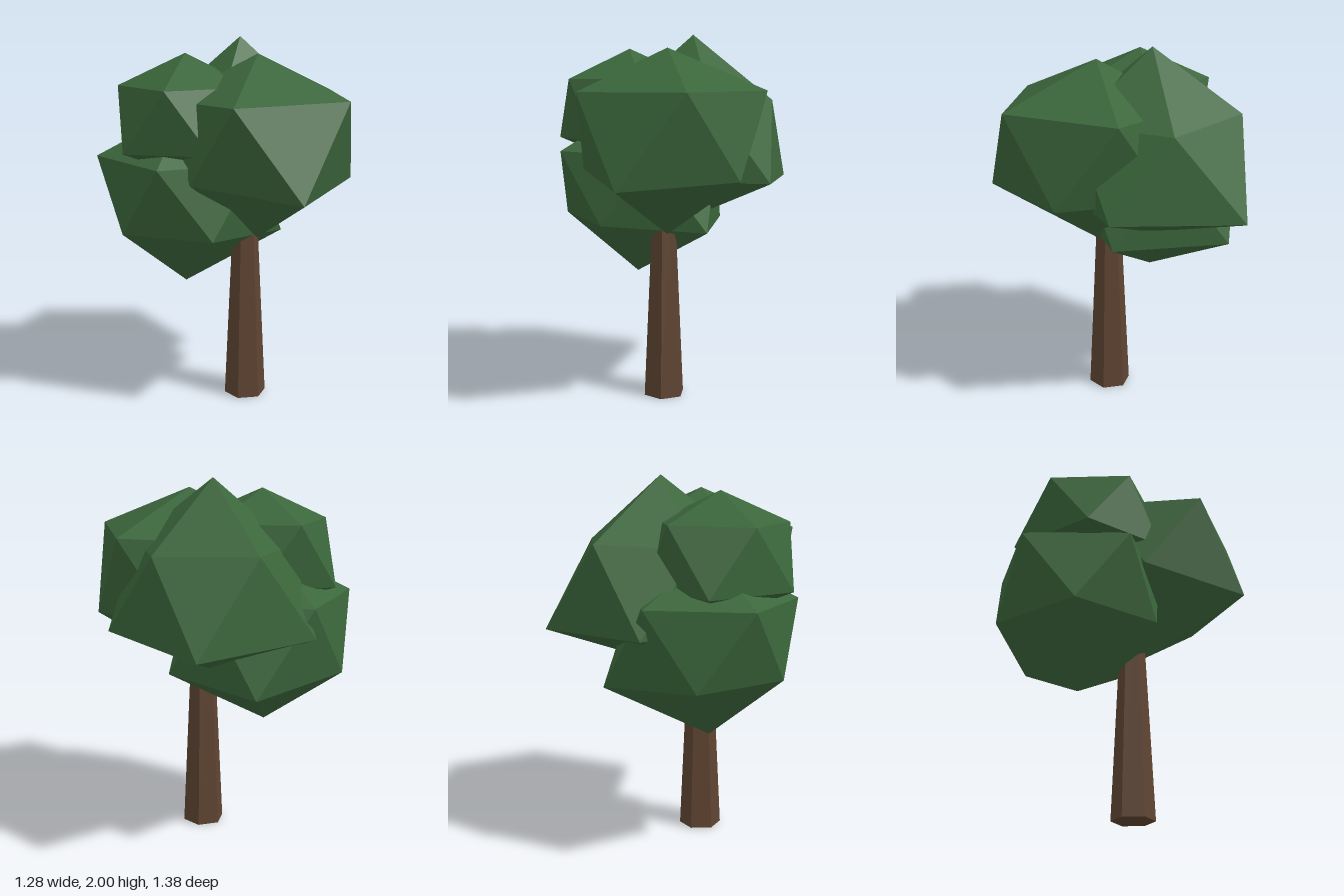
import * as THREE from 'three';

const RISE = 0.43; // ring height per unit of ring radius

// Uneven 20-sided foliage clump: a peak, two staggered five-point rings and a foot.
// upper / lower hold each ring point's horizontal distance from the centre.
function clumpGeometry({ top, bottom, upper, lower }) {
  const ringPoint = (r, degrees, side) => {
    const a = THREE.MathUtils.degToRad(degrees);
    return [r * Math.cos(a), side * RISE * r, r * Math.sin(a)];
  };
  const u = upper.map((r, i) => ringPoint(r, 72 * i, 1));
  const l = lower.map((r, i) => ringPoint(r, 72 * i + 36, -1));
  const peak = [0, top, 0];
  const foot = [0, -bottom, 0];
  const corners = [];
  for (let i = 0; i < 5; i++) {
    const j = (i + 1) % 5;
    corners.push(peak, u[j], u[i]);
    corners.push(u[i], u[j], l[i]);
    corners.push(l[i], u[j], l[j]);
    corners.push(l[i], l[j], foot);
  }
  const geometry = new THREE.BufferGeometry();
  geometry.setAttribute('position', new THREE.Float32BufferAttribute(corners.flat(), 3));
  geometry.computeVertexNormals();
  return geometry;
}

const clumps = [
  {
    name: 'frontFoliage', at: [0.024, 1.477, 0.137], top: 0.45, bottom: 0.55,
    upper: [0.53, 0.54, 0.525, 0.48, 0.48], lower: [0.51, 0.58, 0.46, 0.5, 0.5],
  },
  {
    name: 'leftFoliage', at: [0.13, 1.457, -0.135], top: 0.543, bottom: 0.475,
    upper: [0.44, 0.46, 0.45, 0.42, 0.47], lower: [0.555, 0.5, 0.5, 0.58, 0.627],
  },
  {
    name: 'lowerFoliage', at: [-0.2, 1.16, -0.22], top: 0.46, bottom: 0.52,
    upper: [0.46, 0.46, 0.476, 0.48, 0.475], lower: [0.54, 0.437, 0.42, 0.45, 0.56],
  },
  {
    name: 'backFoliage', at: [-0.232, 1.602, -0.16], top: 0.323, bottom: 0.34,
    upper: [0.37, 0.37, 0.37, 0.36, 0.38], lower: [0.4, 0.4, 0.41, 0.43, 0.4],
  },
];

export function createModel() {
  const bark = new THREE.MeshStandardMaterial({ color: 0x5f4432 });
  const leaf = new THREE.MeshStandardMaterial({ color: 0x3b663b });
  bark.name = 'bark';
  leaf.name = 'leaf';
  bark.flatShading = leaf.flatShading = true;

  const tree = new THREE.Group();
  tree.name = 'tree';

  // Tapered six-sided trunk, running up into the foliage
  const trunk = new THREE.Mesh(new THREE.CylinderGeometry(0.06, 0.117, 1.2, 6), bark);
  trunk.name = 'trunk';
  trunk.position.set(-0.005, 0.6, 0.068);
  tree.add(trunk);

  // Overlapping foliage clumps
  for (const clump of clumps) {
    const mesh = new THREE.Mesh(clumpGeometry(clump), leaf);
    mesh.name = clump.name;
    mesh.position.set(...clump.at);
    tree.add(mesh);
  }
  return tree;
}
